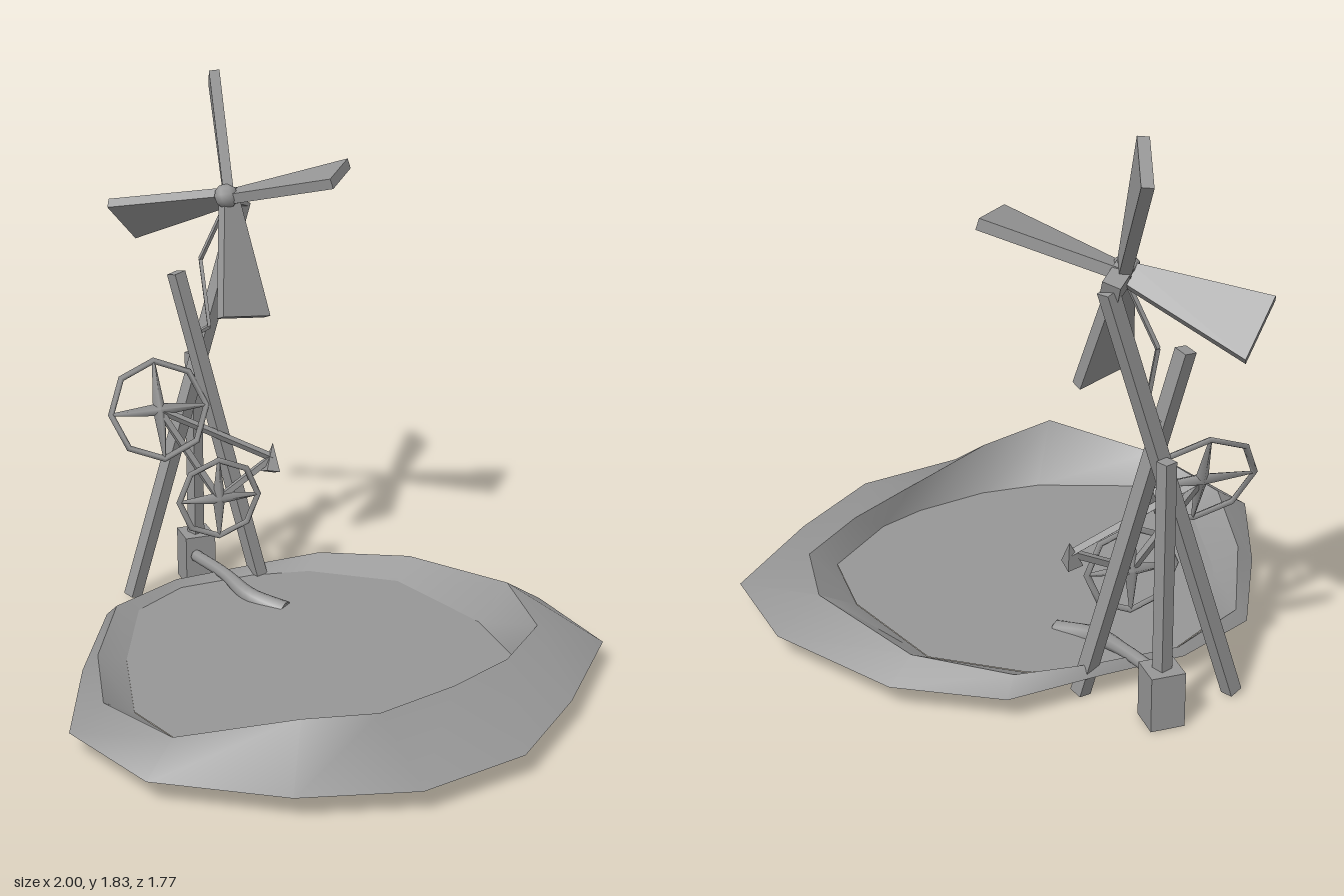
import * as THREE from 'three';
import { toCreasedNormals } from 'three/addons/utils/BufferGeometryUtils.js';

const grey = new THREE.MeshStandardMaterial({ color: 0x969696, side: THREE.DoubleSide });
const V = (x, y, z) => new THREE.Vector3(x, y, z);
const UP = V(0, 1, 0);

function add(parent, name, geometry) {
  const mesh = new THREE.Mesh(geometry, grey);
  mesh.name = name;
  parent.add(mesh);
  return mesh;
}

// Square bar between two points
function bar(parent, name, a, b, w) {
  const mesh = add(parent, name, new THREE.BoxGeometry(w, a.distanceTo(b), w));
  mesh.position.lerpVectors(a, b, 0.5);
  mesh.quaternion.setFromUnitVectors(UP, b.clone().sub(a).normalize());
  return mesh;
}

// Pond bank: outer x,z | crest x,y,z | inner x,z
const BANK = [
  [1.0, -0.04, 0.70, 0.19, -0.05, 0.69, -0.03],
  [0.94, 0.33, 0.72, 0.23, 0.29, 0.65, 0.22],
  [0.715, 0.63, 0.65, 0.275, 0.54, 0.565, 0.41],
  [0.36, 0.88, 0.35, 0.18, 0.77, 0.325, 0.67],
  [-0.02, 0.87, 0.01, 0.155, 0.76, 0.02, 0.65],
  [-0.32, 0.59, -0.29, 0.13, 0.55, -0.27, 0.45],
  [-0.59, 0.28, -0.56, 0.115, 0.26, -0.53, 0.19],
  [-0.61, -0.02, -0.595, 0.11, -0.03, -0.57, -0.03],
  [-0.52, -0.30, -0.50, 0.115, -0.30, -0.48, -0.28],
  [-0.44, -0.59, -0.40, 0.125, -0.53, -0.37, -0.45],
  [-0.15, -0.81, -0.13, 0.145, -0.71, -0.10, -0.62],
  [0.32, -0.89, 0.30, 0.18, -0.74, 0.31, -0.59],
  [0.68, -0.79, 0.565, 0.165, -0.59, 0.565, -0.48],
  [0.875, -0.40, 0.665, 0.17, -0.33, 0.68, -0.20],
];

function makePond(parent) {
  const pond = new THREE.Group();
  pond.name = 'pond';
  parent.add(pond);
  const rings = [
    BANK.map((r) => V(r[0], 0.08, r[1])),
    BANK.map((r) => V(r[2], r[3], r[4])),
    BANK.map((r) => V(r[5], 0.085, r[6])),
  ];
  const n = BANK.length;
  const points = [];
  for (let k = 0; k < 2; k++) {
    for (let i = 0; i < n; i++) {
      const j = (i + 1) % n;
      const [a, b, c, d] = [rings[k][i], rings[k + 1][i], rings[k][j], rings[k + 1][j]];
      points.push(a, b, c, c, b, d);
    }
  }
  const bank = new THREE.BufferGeometry().setFromPoints(points);
  add(pond, 'bank', toCreasedNormals(bank, 0.9));

  const shape = new THREE.Shape(BANK.map((r) => new THREE.Vector2(r[5], -r[6])));
  add(pond, 'water', new THREE.ShapeGeometry(shape).rotateX(-Math.PI / 2)).position.y = 0.087;
}

// Octagonal wheel with four tapered spokes, facing along the normal
function makeWheel(parent, name, center, normal, r) {
  const wheel = new THREE.Group();
  wheel.name = name;
  wheel.position.copy(center);
  wheel.lookAt(center.clone().add(normal));
  parent.add(wheel);
  add(wheel, 'rim', new THREE.TorusGeometry(r - 0.01, 0.011, 4, 8));
  for (let i = 0; i < 4; i++) {
    const spoke = new THREE.CylinderGeometry(0.005, 0.022, r - 0.01, 4).translate(0, (r - 0.01) / 2, 0);
    add(wheel, 'spoke', spoke).rotation.z = i * Math.PI / 2;
  }
}

// Four pitched blades turning around a ball hub
function makeFan(parent) {
  const fan = new THREE.Group();
  fan.name = 'fan';
  const axis = V(0.35, 0.33, 0.88).normalize();
  const up = V(-0.39, 0.91, -0.19);
  up.addScaledVector(axis, -up.dot(axis)).normalize();
  const side = up.clone().cross(axis);
  fan.quaternion.setFromRotationMatrix(new THREE.Matrix4().makeBasis(side, up, axis));
  fan.position.set(-0.625, 1.42, -0.315);
  parent.add(fan);

  for (let i = 0; i < 4; i++) {
    const geometry = new THREE.BoxGeometry(1, 0.41, 0.035).translate(0, 0.205, 0);
    const p = geometry.attributes.position;
    for (let k = 0; k < p.count; k++) {
      p.setX(k, p.getX(k) * (p.getY(k) > 0.2 ? 0.2 : 0.06));
    }
    geometry.rotateY(-1.1);
    geometry.computeVertexNormals();
    add(fan, 'blade', geometry).rotation.z = i * Math.PI / 2;
  }
  add(fan, 'hub', new THREE.SphereGeometry(0.042, 8, 6)).position.z = 0.02;
  bar(fan, 'shaft', V(0, 0, 0.02), V(0, 0, -0.09), 0.055);
}

// Outlet pipe that widens and dips into the water
function makePipe(parent) {
  const curve = new THREE.CatmullRomCurve3([
    V(-0.69, 0.118, -0.2), V(-0.5, 0.115, -0.175), V(-0.35, 0.09, -0.155), V(-0.22, 0.063, -0.195),
  ]);
  const rings = 16, sides = 8, r = 0.021;
  const tube = new THREE.TubeGeometry(curve, rings, r, sides);
  const p = tube.attributes.position;
  for (let i = 0; i <= rings; i++) {
    const center = curve.getPointAt(i / rings);
    const grow = 1 + 1.4 * Math.max(0, i / rings - 0.4);
    for (let k = i * (sides + 1); k < (i + 1) * (sides + 1); k++) {
      const v = V(0, 0, 0).fromBufferAttribute(p, k).sub(center).multiplyScalar(grow).add(center);
      p.setXYZ(k, v.x, v.y, v.z);
    }
  }
  add(parent, 'outletPipe', tube);
  const cap = add(parent, 'pipeEnd', new THREE.CircleGeometry(r * 1.84, sides));
  cap.position.copy(curve.getPointAt(1));
  cap.quaternion.setFromUnitVectors(V(0, 0, 1), curve.getTangentAt(1));
}

export function createModel() {
  const model = new THREE.Group();
  model.name = 'windPump';
  makePond(model);

  // Crossed legs, upright post and pump box
  bar(model, 'mastLeg', V(-0.765, 0.01, 0.03), V(-0.645, 1.39, -0.39), 0.045);
  bar(model, 'shortLeg', V(-0.465, 0.01, -0.32), V(-0.71, 1.17, -0.15), 0.045);
  bar(model, 'post', V(-0.735, 0.1, -0.24), V(-0.735, 0.86, -0.24), 0.042);
  const box = add(model, 'pumpBox', new THREE.BoxGeometry(0.108, 0.18, 0.108));
  box.position.set(-0.735, 0.095, -0.24);
  box.rotation.y = -Math.PI / 8;
  makePipe(model);
  makeFan(model);

  // Bent drive rod below the fan
  const rod = [V(-0.63, 1.4, -0.31), V(-0.7, 1.2, -0.25), V(-0.635, 0.98, -0.23), V(-0.675, 0.95, -0.21)];
  for (let i = 0; i < 3; i++) bar(model, 'driveRod', rod[i], rod[i + 1], 0.012);

  // Wheels and the linkage between them
  const upper = V(-0.675, 0.715, -0.035), lower = V(-0.52, 0.4, -0.165), tip = V(-0.475, 0.51, -0.37);
  makeWheel(model, 'upperWheel', upper, V(0.85, 0.37, 0.38), 0.178);
  makeWheel(model, 'lowerWheel', lower, V(0.9, 0, 0.43), 0.15);
  bar(model, 'linkRod', upper, tip, 0.02);
  bar(model, 'linkRod', upper, lower, 0.02);
  bar(model, 'linkRod', tip, lower, 0.02);
  const end = add(model, 'linkEnd', toCreasedNormals(new THREE.ConeGeometry(0.035, 0.1, 4), 0.4));
  end.position.copy(tip);
  end.rotation.set(-0.5, 0.4, 0.3);

  return model;
}
